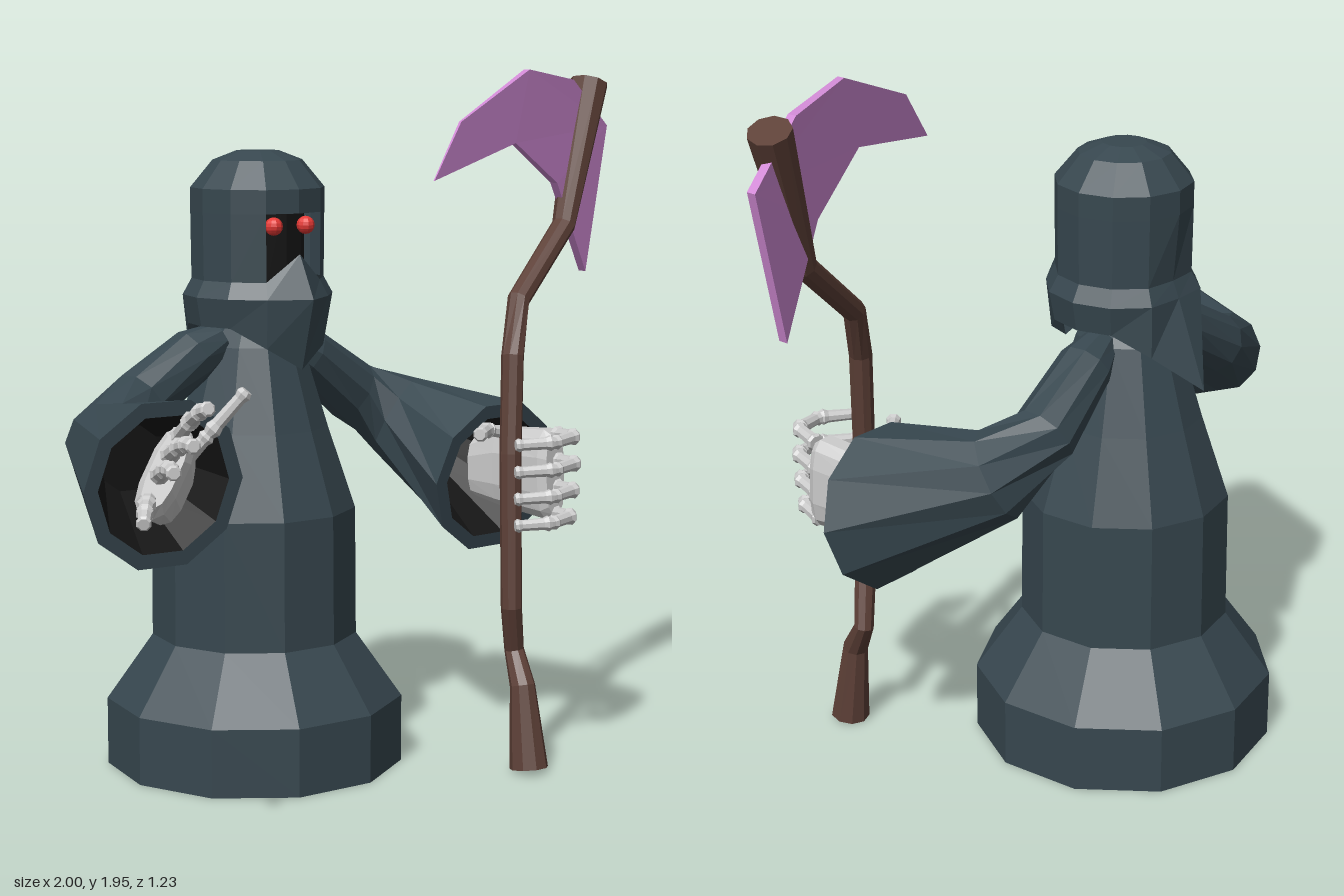
import * as THREE from 'three';

const V = (x, y, z) => new THREE.Vector3(x, y, z);
const mat = (color) => new THREE.MeshStandardMaterial({ color, flatShading: true, side: THREE.DoubleSide });
const robe = mat(0x37474f), dark = mat(0x161616), wood = mat(0x5d4037);
const steel = mat(0xd28bd6), bone = mat(0xcccccc), red = mat(0xe53935);

// Skin a list of equal-length rings, with optional end caps and skipped quads
function loft(rings, { capA = true, capB = true, skip = () => false } = {}) {
  const out = [], n = rings[0].length;
  const tri = (...ps) => ps.forEach((p) => out.push(p.x, p.y, p.z));
  for (let i = 0; i < rings.length - 1; i++) {
    for (let j = 0; j < n; j++) {
      if (skip(i, j)) continue;
      const k = (j + 1) % n;
      tri(rings[i][j], rings[i][k], rings[i + 1][k]);
      tri(rings[i][j], rings[i + 1][k], rings[i + 1][j]);
    }
  }
  const cap = (ring, flip) => {
    const c = ring.reduce((s, p) => s.add(p), V(0, 0, 0)).divideScalar(n);
    ring.forEach((p, j) => {
      const q = ring[(j + 1) % n];
      flip ? tri(c, q, p) : tri(c, p, q);
    });
  };
  if (capA) cap(rings[0], true);
  if (capB) cap(rings[rings.length - 1], false);
  const g = new THREE.BufferGeometry();
  g.setAttribute('position', new THREE.Float32BufferAttribute(out, 3));
  g.computeVertexNormals();
  return g;
}

// Ring of n points round c, facing dir; ref keeps the rings from twisting
function ring(c, dir, ref, rn, rb, n, power = 1) {
  const T = dir.clone().normalize();
  const B = T.clone().cross(ref).normalize();
  const N = B.clone().cross(T);
  const f = (v) => Math.sign(v) * Math.abs(v) ** power;
  return Array.from({ length: n }, (_, j) => {
    const a = ((j + 0.5) / n) * Math.PI * 2;
    return c.clone().addScaledVector(N, rn * f(Math.cos(a))).addScaledVector(B, rb * f(Math.sin(a)));
  });
}

// Rings along a bent path with a radius at each point
function pathRings(pts, radii, n, ref, endDir) {
  return pts.map((p, i) => {
    const a = pts[Math.max(i - 1, 0)], b = pts[Math.min(i + 1, pts.length - 1)];
    const dir = i === pts.length - 1 && endDir ? endDir : b.clone().sub(a);
    return ring(p, dir, ref, radii[i], radii[i], n);
  });
}

const X = V(1, 0, 0), Y = V(0, 1, 0), Z = V(0, 0, 1);

export function createModel() {
  const model = new THREE.Group();
  const add = (name, geo, material, parent = model) => {
    const m = new THREE.Mesh(geo, material);
    m.name = name;
    parent.add(m);
    return m;
  };

  // Robe: eleven-sided turned body
  const profile = [[0, 0.01], [0.42, 0.01], [0.42, 0.2], [0.29, 0.38], [0.287, 0.74],
    [0.21, 0.97], [0.14, 1.2], [0.08, 1.28], [0, 1.28]].map(([r, y]) => new THREE.Vector2(r, y));
  const body = add('robe', new THREE.LatheGeometry(profile, 11, THREE.MathUtils.degToRad(176)), robe);
  body.position.set(-0.09, 0, -0.2);

  // Hood: [y, radius, front y, front radius, back y, back radius] per row
  const rows = [
    [1.26, 0.195, 1.145, 0.2, 1.1, 0.28],
    [1.34, 0.21, 1.34, 0.25, 1.34, 0.19],
    [1.385, 0.185, 1.46, 0.19, 1.385, 0.17],
    [1.57, 0.187], [1.635, 0.187], [1.71, 0.125], [1.735, 0.06],
  ];
  const hoodRings = rows.map(([y, r, fy = y, fr = r, by = y, br = r], i) =>
    Array.from({ length: 12 }, (_, j) => {
      const a = (j / 12) * Math.PI * 2;
      let py = y, pr = r;
      if (j === 0) { py = fy; pr = fr; }
      if (j === 6) { py = by; pr = br; }
      if (i === 0 && (j === 1 || j === 11)) py = 1.205;
      if (i === 0 && (j === 5 || j === 7)) { py = 1.2; pr = 0.215; }
      return V(-0.08 + pr * Math.sin(a), py, -0.19 + pr * Math.cos(a));
    }));
  add('hood', loft(hoodRings, { capA: false, skip: (i, j) => i === 2 && (j === 0 || j === 11) }), robe);

  // Shadowed face and eyes
  add('faceShadow', new THREE.CylinderGeometry(0.13, 0.13, 0.3, 12), dark).position.set(-0.08, 1.48, -0.19);
  for (const s of [-1, 1]) {
    add(s > 0 ? 'leftEye' : 'rightEye', new THREE.SphereGeometry(0.025, 10, 8), red)
      .position.set(-0.08 + s * 0.055, 1.535, -0.045);
  }

  // Sleeves: outer skin, rim, then a dark hollow lining
  function sleeve(name, pts, radii, endDir) {
    const outer = pathRings(pts, radii, 10, Y, endDir);
    const end = pts[pts.length - 1], d = endDir.clone().normalize();
    const at = (back, r) => ring(end.clone().addScaledVector(d, -back), endDir, Y, r, r, 10);
    add(name, loft([...outer, at(0, 0.185)], { capB: false }), robe);
    const deep = end.clone().lerp(pts[pts.length - 2], 0.6);
    add(name + 'Lining', loft([ring(deep, endDir, Y, 0.09, 0.09, 10), at(0, 0.185)], { capB: false }), dark);
  }
  sleeve('leftSleeve',
    [V(0.02, 1.2, -0.2), V(0.1, 1.16, -0.21), V(0.29, 1.03, -0.23), V(0.43, 0.95, -0.19), V(0.53, 0.8, 0.13)],
    [0.05, 0.075, 0.09, 0.125, 0.225], V(0, -0.065, 0.41));
  sleeve('rightSleeve',
    [V(-0.2, 1.22, -0.2), V(-0.28, 1.18, -0.22), V(-0.46, 1.07, -0.22), V(-0.61, 0.98, -0.15), V(-0.695, 0.925, 0.23)],
    [0.05, 0.075, 0.085, 0.115, 0.225], V(-0.06, -0.03, 0.44));

  // Bony finger: each bone flares at both joints
  function finger(name, joints, parent) {
    const pts = [], radii = [];
    for (let i = 0; i < joints.length - 1; i++) {
      [[0.03, 0.021], [0.1, 0.026], [0.22, 0.02], [0.8, 0.018], [0.9, 0.023], [0.98, 0.017]].forEach(([t, r]) => {
        pts.push(joints[i].clone().lerp(joints[i + 1], t));
        radii.push(r * (1 - 0.07 * i));
      });
    }
    add(name, loft(pathRings(pts, radii, 8, Y)), bone, parent);
  }
  const palm = (stations, across, parent) => add('palm', loft(stations.map(([p, w, t], i) => {
    const dir = stations[stations.length - 1][0].clone().sub(stations[0][0]);
    return ring(p, dir, across, w, t, 12, 0.7);
  })), bone, parent);

  // Right hand: open, reaching forward
  const rightHand = new THREE.Group();
  rightHand.name = 'rightHand';
  model.add(rightHand);
  palm([[V(-0.65, 0.89, 0.14), 0.07, 0.05], [V(-0.7, 0.92, 0.25), 0.095, 0.055],
    [V(-0.79, 0.985, 0.37), 0.12, 0.05], [V(-0.805, 0.997, 0.39), 0.1, 0.035]], V(0.5, 0.84, 0), rightHand);
  [[V(-0.75, 1.07, 0.37), V(-0.81, 1.17, 0.58)], [V(-0.785, 1.03, 0.38), V(-0.875, 1.09, 0.61)],
    [V(-0.815, 0.985, 0.38), V(-0.925, 1.03, 0.6)], [V(-0.84, 0.925, 0.37), V(-0.985, 0.91, 0.56)],
  ].forEach(([a, b], i) => {
    const bend = (t, lift) => a.clone().lerp(b, t).add(V(0, lift, 0));
    finger('finger' + (i + 1), [a, bend(0.4, 0.012), bend(0.72, 0.012), b], rightHand);
  });
  finger('thumb', [V(-0.68, 0.97, 0.27), V(-0.62, 1.06, 0.32), V(-0.545, 1.17, 0.38)], rightHand);

  // Left hand: fingers curled round the staff
  const leftHand = new THREE.Group();
  leftHand.name = 'leftHand';
  model.add(leftHand);
  palm([[V(0.53, 0.82, 0.06), 0.085, 0.05], [V(0.55, 0.83, 0.15), 0.115, 0.06],
    [V(0.56, 0.83, 0.32), 0.13, 0.055], [V(0.565, 0.83, 0.34), 0.115, 0.04]], Y, leftHand);
  for (let i = 0; i < 4; i++) {
    const y = 0.94 - i * 0.075, s = [0.97, 1, 0.98, 0.93][i];
    const at = (x, z, dy) => V(0.45 + (x - 0.45) * s, y + dy, 0.33 + (z - 0.33) * s);
    finger('finger' + (i + 1),
      [at(0.58, 0.33, 0), at(0.555, 0.43, 0.01), at(0.45, 0.455, 0.005), at(0.35, 0.4, 0)], leftHand);
  }
  finger('thumb', [V(0.54, 0.93, 0.19), V(0.44, 0.95, 0.19), V(0.34, 0.955, 0.27)], leftHand);

  // Crooked staff, thick at both ends
  const staff = [
    [0.415, 0.02, 0.405, 0.055], [0.42, 0.25, 0.37, 0.036], [0.438, 0.34, 0.315, 0.028],
    [0.402, 0.47, 0.34, 0.03], [0.415, 0.9, 0.315, 0.031], [0.442, 1.17, 0.29, 0.032],
    [0.505, 1.32, 0.245, 0.032], [0.735, 1.515, 0.185, 0.034], [0.9, 1.915, 0.11, 0.057],
  ];
  add('staff', loft(pathRings(staff.map(([x, y, z]) => V(x, y, z)), staff.map((s) => s[3]), 9, Z)), wood);

  // Blade: curved plate, thinning to the tip and slanting back along the staff side
  const outline = [[0.05, 1.67], [0.465, 1.755], [0.7, 1.635], [0.88, 1.37],
    [1, 1.79], [0.79, 1.925], [0.535, 1.955], [0.18, 1.82]].map(([x, y]) => new THREE.Vector2(x, y));
  const blade = new THREE.ExtrudeGeometry(new THREE.Shape(outline), { depth: 1, bevelEnabled: false });
  const p = blade.attributes.position;
  for (let i = 0; i < p.count; i++) {
    const x = p.getX(i), thick = 0.004 + 0.024 * Math.min(1, (x - 0.05) / 0.6);
    p.setZ(i, 0.4 - (x - 0.05) * 0.342 + (p.getZ(i) - 0.5) * thick);
  }
  blade.computeVertexNormals();
  add('blade', blade, steel);

  return model;
}
